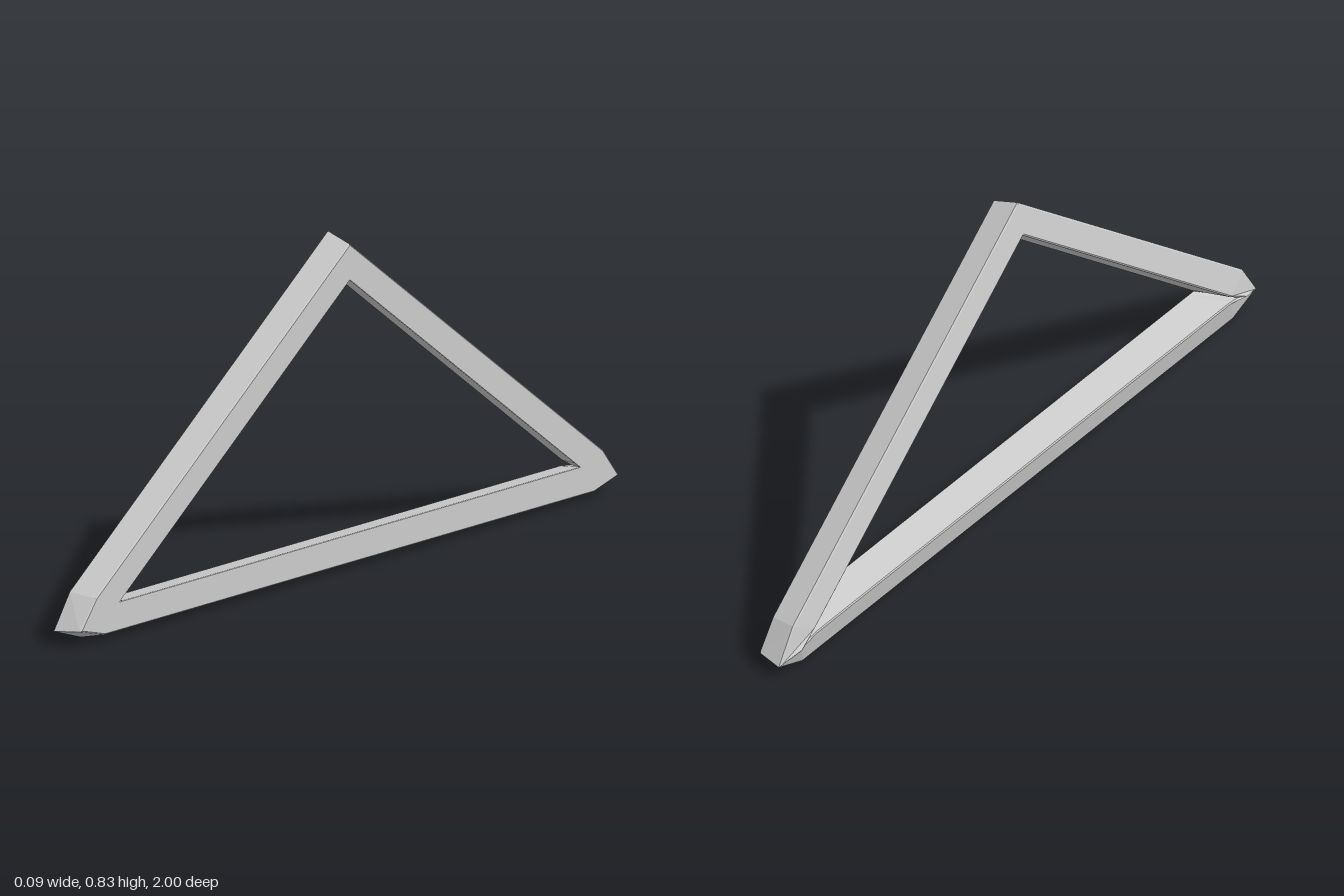
import * as THREE from 'three';

// Sharp outline of the frame in the z-y plane
const HALF = 1.1, HEIGHT = 0.829;
const ANGLE = Math.atan2(HEIGHT, HALF);
const LENGTH = Math.hypot(HALF, HEIGHT);
const MITRE = Math.tan(ANGLE / 2);

// Bar section: [x, depth inward from the outline, depth at the clipped lower corner]
const SECTION = [
  [-0.025, 0, 0.034], [0.042, 0.016, 0.04], [0.045, 0.019, 0.042], [0.045, 0.087, 0.087],
  [0.042, 0.088, 0.088], [-0.041, 0.071, 0.066], [-0.043, 0.067, 0.056], [-0.028, 0.004, 0.037],
];

// Distance along the bar and depth for each kind of cross-section
const tip = ([, , t]) => [t / MITRE, t];
const knee = ([, d, t]) => [Math.max(0.2 + d * 0.5, t / MITRE + 0.02), d];
const farEnd = (row) => (p) => { const [a, d] = row(p); return [2 * HALF - a, d]; };
const apex = ([, d]) => [LENGTH - d * Math.tan(ANGLE), d];

// Lofts the section along direction u from a corner, with n pointing into the frame ([z, y] pairs)
function bar(name, cornerZ, u, n, rows, material) {
  const pos = [], index = [], count = SECTION.length;
  for (const row of rows) {
    for (const p of SECTION) {
      const [a, d] = row(p);
      const x = row === tip && p[0] === -0.043 ? -0.047 : p[0];
      pos.push(x, u[1] * a + n[1] * d, cornerZ + u[0] * a + n[0] * d);
    }
  }
  const flip = u[0] * n[1] - u[1] * n[0] > 0;
  for (let r = 0; r < rows.length - 1; r++) {
    for (let i = 0; i < count; i++) {
      const j = (i + 1) % count;
      const a = r * count + i, b = r * count + j, c = a + count, e = b + count;
      if (flip) index.push(a, b, c, b, e, c);
      else index.push(a, c, b, b, c, e);
    }
  }
  const geometry = new THREE.BufferGeometry();
  geometry.setAttribute('position', new THREE.Float32BufferAttribute(pos, 3));
  geometry.setIndex(index);
  const flat = geometry.toNonIndexed();
  flat.computeVertexNormals();
  const mesh = new THREE.Mesh(flat, material);
  mesh.name = name;
  return mesh;
}

export function createModel() {
  const group = new THREE.Group();
  group.name = 'triangularFrame';
  const material = new THREE.MeshStandardMaterial({
    color: 0xcccccc, flatShading: true, side: THREE.DoubleSide,
  });

  // Base bar, clipped at both ends
  group.add(bar('baseBar', HALF, [-1, 0], [0, 1],
    [tip, knee, farEnd(knee), farEnd(tip)], material));

  // Sloping bars meeting in a mitre at the apex
  const c = Math.cos(ANGLE), s = Math.sin(ANGLE);
  for (const [name, side] of [['frontSlopingBar', 1], ['backSlopingBar', -1]]) {
    group.add(bar(name, side * HALF, [-side * c, s], [-side * s, -c], [tip, knee, apex], material));
  }
  return group;
}
